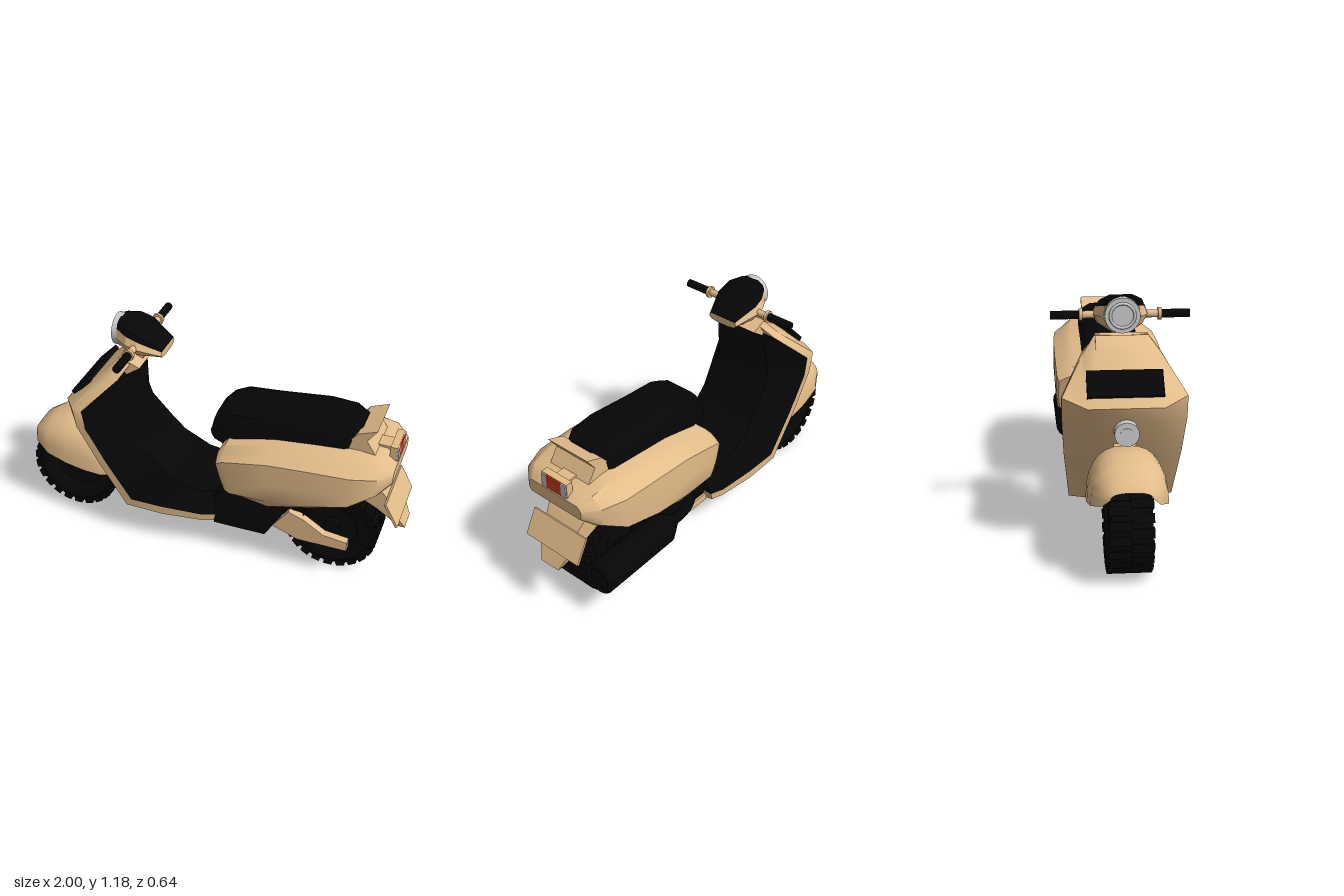
import * as THREE from 'three';
import { toCreasedNormals } from 'three/addons/utils/BufferGeometryUtils.js';

const mat = (color) => new THREE.MeshStandardMaterial({ color, side: THREE.DoubleSide });

export function createModel() {
  const root = new THREE.Group();
  const tan = mat(0xe3bc8a), black = mat(0x060606), grey = mat(0xbcbcbc), red = mat(0xd63c28);

  const add = (name, geo, material, pos = [0, 0, 0], rot = [0, 0, 0], parent = root) => {
    const mesh = new THREE.Mesh(geo, material);
    mesh.name = name;
    mesh.position.set(...pos);
    mesh.rotation.set(...rot);
    parent.add(mesh);
    return mesh;
  };

  // Skin through rings of [x, y, z]; closed rings get end caps
  const loft = (rings, crease = 0.6, closed = true) => {
    const pos = [], n = rings[0].length;
    const tri = (a, b, c) => pos.push(...a, ...b, ...c);
    for (let i = 0; i < rings.length - 1; i++) {
      for (let j = 0; j < (closed ? n : n - 1); j++) {
        const k = (j + 1) % n, A = rings[i], B = rings[i + 1];
        tri(A[j], B[j], B[k]);
        tri(A[j], B[k], A[k]);
      }
    }
    if (closed) {
      [rings[0], rings[rings.length - 1]].forEach((r, end) => {
        const c = [0, 1, 2].map((a) => r.reduce((s, p) => s + p[a], 0) / n);
        r.forEach((p, j) => (end ? tri(c, r[(j + 1) % n], p) : tri(c, p, r[(j + 1) % n])));
      });
    }
    // Turn the faces outward by the sign of the enclosed volume
    let volume = 0;
    const [a, b, c] = [0, 1, 2].map(() => new THREE.Vector3());
    for (let i = 0; i < pos.length; i += 9) {
      a.fromArray(pos, i); b.fromArray(pos, i + 3); c.fromArray(pos, i + 6);
      volume += a.dot(b.cross(c));
    }
    if (volume < 0) {
      for (let i = 0; i < pos.length; i += 9) {
        for (let q = 0; q < 3; q++) [pos[i + 3 + q], pos[i + 6 + q]] = [pos[i + 6 + q], pos[i + 3 + q]];
      }
    }
    const g = new THREE.BufferGeometry();
    g.setAttribute('position', new THREE.Float32BufferAttribute(pos, 3));
    return toCreasedNormals(g, crease);
  };
  // Mirror a half outline (z >= 0) into a full ring
  const sym = (half) => [...half, ...half.map(([x, y, z]) => [x, y, -z]).reverse()];
  // Side profile in x, y extruded between two z values
  const slab = (pts, z0, z1) => {
    const shape = new THREE.Shape(pts.map((p) => new THREE.Vector2(...p)));
    return new THREE.ExtrudeGeometry(shape, { depth: z1 - z0, bevelEnabled: false }).translate(0, 0, z0);
  };
  const cyl = (r0, r1, h, sides = 20) => new THREE.CylinderGeometry(r0, r1, h, sides);
  const alongX = [0, 0, -Math.PI / 2], alongZ = [Math.PI / 2, 0, 0];

  // Wheels with staggered tread blocks
  const wheel = (name, x) => {
    const g = new THREE.Group();
    g.name = name;
    g.position.set(x, 0.236, 0);
    root.add(g);
    const profile = [[0.13, -0.07], [0.17, -0.09], [0.215, -0.092], [0.228, -0.08], [0.23, 0],
      [0.228, 0.08], [0.215, 0.092], [0.17, 0.09], [0.13, 0.07], [0.13, -0.07]];
    add('tyre', new THREE.LatheGeometry(profile.map((p) => new THREE.Vector2(...p)), 40), black, [0, 0, 0], alongZ, g);
    add('rim', cyl(0.135, 0.135, 0.1, 24), black, [0, 0, 0], alongZ, g);
    add('hub', cyl(0.04, 0.04, 0.17, 16), black, [0, 0, 0], alongZ, g);
    for (let i = 0; i < 44; i++) {
      const t = (i / 44) * Math.PI * 2, side = i % 2 ? 1 : -1;
      add('treadBlock', new THREE.BoxGeometry(0.035, 0.042, 0.098), black,
        [Math.cos(t) * 0.2175, Math.sin(t) * 0.2175, side * 0.049], [0, 0, t], g);
    }
  };
  wheel('frontWheel', -0.765);
  wheel('rearWheel', 0.64);

  // Front fender: x, bottom, top, half width
  const fender = [[-0.98, 0.42, 0.45, 0.09], [-0.96, 0.385, 0.48, 0.125], [-0.88, 0.355, 0.53, 0.17],
    [-0.77, 0.325, 0.555, 0.18], [-0.67, 0.305, 0.55, 0.18], [-0.58, 0.29, 0.51, 0.17], [-0.49, 0.3, 0.4, 0.15]];
  add('frontFender', loft(fender.map(([x, yb, yt, w]) => Array.from({ length: 15 }, (_, i) => {
    const t = (i / 14) * Math.PI, c = Math.cos(t);
    return [x, yb + (yt - yb) * Math.sin(t) ** 0.8, w * Math.sign(c) * Math.abs(c) ** 0.8];
  })), 0.9, false), tan);
  add('fork', new THREE.BoxGeometry(0.06, 0.5, 0.1), tan, [-0.58, 0.58, 0], [0, 0, -0.45]);

  // Leg shield and floor: outer centre, outer corner, rim, inner centre
  const shield = [
    [[-0.46, 1.0, 0.12], [-0.43, 1.0, 0.12], [-0.4, 0.98, 0.12], [-0.42, 0.93, 0.11]],
    [[-0.52, 0.94, 0.12], [-0.49, 0.92, 0.18], [-0.44, 0.92, 0.18], [-0.42, 0.915, 0.13]],
    [[-0.73, 0.74, 0.17], [-0.65, 0.77, 0.28], [-0.6, 0.76, 0.28], [-0.43, 0.7, 0.16]],
    [[-0.69, 0.65, 0.15], [-0.63, 0.66, 0.28], [-0.585, 0.66, 0.28], [-0.41, 0.64, 0.16]],
    [[-0.57, 0.44, 0.12], [-0.53, 0.46, 0.27], [-0.49, 0.47, 0.27], [-0.31, 0.52, 0.17]],
    [[-0.41, 0.19, 0.12], [-0.4, 0.205, 0.245], [-0.37, 0.25, 0.25], [-0.24, 0.44, 0.18]],
    [[-0.2, 0.18, 0.12], [-0.2, 0.2, 0.245], [-0.2, 0.245, 0.245], [-0.1, 0.37, 0.18]],
    [[0, 0.18, 0.12], [0, 0.2, 0.22], [0, 0.24, 0.225], [0, 0.355, 0.18]],
    [[0.06, 0.18, 0.12], [0.06, 0.2, 0.2], [0.07, 0.24, 0.2], [0.07, 0.35, 0.14]],
  ];
  add('legShield', loft(shield.map((s) => sym(s.slice(0, 3))), 0.75), tan);
  add('innerPanel', loft(shield.slice(1).map((s) => sym(s.slice(2))), 0.9), black);
  add('shieldTop', slab([[-0.48, 0.98], [-0.43, 1.005], [-0.35, 0.97], [-0.42, 0.92]], -0.12, 0.12), tan);
  add('shieldGrille', new THREE.BoxGeometry(0.13, 0.025, 0.34), black, [-0.649, 0.827, 0], [0, 0, 0.8]);
  add('horn', cyl(0.055, 0.055, 0.11), grey, [-0.69, 0.625, 0], alongX);
  add('hornCentre', cyl(0.03, 0.03, 0.02), grey, [-0.738, 0.625, 0], alongX);
  add('steeringNeck', new THREE.BoxGeometry(0.06, 0.07, 0.08), tan, [-0.39, 1.0, 0], [0, 0, -0.3]);

  // Handlebar head: lower tan shell and black top
  const head = [[-0.48, 1.02, 1.09, 1.14, 1.178, 0.085], [-0.42, 1.01, 1.085, 1.125, 1.178, 0.12],
    [-0.36, 1.005, 1.075, 1.112, 1.145, 0.13], [-0.25, 1.02, 1.04, 1.057, 1.064, 0.085]];
  add('headShell', loft(head.map(([x, yb, ym, yh, , w]) =>
    sym([[x, yb, w * 0.4], [x, (yb + ym) / 2 - 0.005, w * 0.8], [x, ym, w], [x, yh, w * 0.88]])), 0.2), tan);
  add('instrumentCover', loft(head.map(([x, , , yh, yt, w]) =>
    sym([[x, yh, w * 0.89], [x, yh * 0.4 + yt * 0.6, w * 0.78], [x, yt, w * 0.42]])), 0.2), black);
  add('headlampRim', cyl(0.08, 0.08, 0.035, 24), grey, [-0.492, 1.1, 0], alongX);
  add('headlampRing', new THREE.TorusGeometry(0.055, 0.007, 8, 24), grey, [-0.51, 1.1, 0], [0, Math.PI / 2, 0]);
  for (const s of [1, -1]) {
    add('handlebar', cyl(0.018, 0.018, 0.12, 8), tan, [-0.375, 1.077, s * 0.14], alongZ);
    add('gripCollar', cyl(0.03, 0.03, 0.016, 8), tan, [-0.375, 1.077, s * 0.18], alongZ);
    add('grip', cyl(0.02, 0.02, 0.13, 12), black, [-0.375, 1.077, s * 0.253], alongZ);
  }

  // Rear body: x, bottom y, bottom half, low side y, half width, high side y, top y, top half, slant, wheel well depth
  const body = [[0.09, 0.43, 0.2, 0.47, 0.272, 0.62, 0.65, 0.21, 0.3, 0], [0.13, 0.41, 0.21, 0.465, 0.282, 0.645, 0.69, 0.2, 0.22, 0],
    [0.35, 0.4, 0.23, 0.47, 0.286, 0.69, 0.745, 0.19, 0, 0.04], [0.55, 0.45, 0.23, 0.495, 0.286, 0.705, 0.765, 0.19, 0, 0.07],
    [0.75, 0.52, 0.22, 0.545, 0.278, 0.71, 0.77, 0.19, 0, 0.05], [0.87, 0.59, 0.19, 0.615, 0.235, 0.705, 0.757, 0.18, 0, 0],
    [0.93, 0.645, 0.15, 0.66, 0.165, 0.695, 0.715, 0.14, 0, 0]];
  add('rearBody', loft(body.map(([x, yb, hb, yl, w, yh, yt, ht, k, well]) => sym([
    [yb + well, hb * 0.55], [yb, hb], [yl, w * 0.98], [yl * 0.55 + yh * 0.45, w], [yh, w * 0.99],
    [yh * 0.4 + yt * 0.6, w * 0.45 + ht * 0.55], [yt, ht],
  ].map(([y, z]) => [x + k * (0.64 - y), y, z]))), 0.6), tan);

  // Seat: x, bottom, top, half width
  const seat = [[0.01, 0.66, 0.72, 0.1], [0.03, 0.645, 0.775, 0.115], [0.08, 0.635, 0.83, 0.13], [0.14, 0.64, 0.854, 0.15],
    [0.3, 0.7, 0.867, 0.15], [0.55, 0.74, 0.895, 0.15], [0.68, 0.75, 0.893, 0.14], [0.75, 0.76, 0.872, 0.1]];
  add('seat', loft(seat.map(([x, yb, yt, w]) =>
    sym([[x, yb, w * 0.93], [x, (yb + yt) / 2, w], [x, yt - 0.03, w * 0.88], [x, yt, w * 0.55]])), 0.7), black);
  add('tailGrab', slab([[0.62, 0.75], [0.7, 0.81], [0.74, 0.86], [0.83, 0.895], [0.785, 0.83], [0.83, 0.76]], -0.12, 0.12), tan);

  // Tail lamp
  add('tailLampStalk', new THREE.BoxGeometry(0.1, 0.05, 0.08), tan, [0.86, 0.745, 0]);
  add('tailLampHousing', new THREE.BoxGeometry(0.035, 0.076, 0.156), tan, [0.905, 0.757, 0]);
  add('tailLamp', new THREE.BoxGeometry(0.012, 0.07, 0.09), red, [0.923, 0.757, 0]);
  for (const s of [1, -1]) add('turnSignal', new THREE.BoxGeometry(0.012, 0.07, 0.03), grey, [0.923, 0.757, s * 0.06]);

  // Rear mudguard and plate
  const guard = [[0.75, 0.51, 0.84, 0.6, 0.12], [0.86, 0.435, 0.9, 0.515, 0.1], [0.92, 0.385, 0.955, 0.405, 0.09], [0.965, 0.32, 0.998, 0.32, 0.055]];
  add('rearMudguard', loft(guard.map(([x0, y0, x1, y1, w]) => sym([[x0, y0, w], [x1, y1, w]])), 0.2), tan);
  add('plate', new THREE.BoxGeometry(0.012, 0.135, 0.33), tan, [0.94, 0.46, 0], [0, 0, 0.5]);

  // Engine, belly plate, drive case and cooling ribs
  add('engineCover', slab([[0.06, 0.185], [0.33, 0.185], [0.43, 0.36], [0.4, 0.45], [0.16, 0.46], [0.06, 0.35]], -0.15, 0.195), black);
  add('bellyPlate', new THREE.BoxGeometry(0.27, 0.04, 0.28), tan, [0.195, 0.2, -0.02]);
  add('driveCase', slab([[0.37, 0.26], [0.45, 0.37], [0.53, 0.34], [0.63, 0.275], [0.75, 0.26], [0.75, 0.21], [0.5, 0.21]], 0.16, 0.2), tan);
  for (let i = 0; i < 6; i++) add('coolingRib', new THREE.BoxGeometry(0.14, 0.025, 0.06), black, [0.45, 0.25 + i * 0.042, 0.14]);
  add('engineCore', new THREE.BoxGeometry(0.1, 0.22, 0.2), black, [0.43, 0.35, 0.03]);
  add('swingArm', new THREE.BoxGeometry(0.4, 0.06, 0.04), black, [0.48, 0.25, -0.12]);

  // Exhaust
  add('muffler', cyl(0.082, 0.078, 0.44, 20), black, [0.66, 0.272, -0.2], alongX);
  add('mufflerCap', new THREE.TorusGeometry(0.068, 0.015, 8, 20), black, [0.876, 0.272, -0.2], [0, Math.PI / 2, 0]);
  add('mufflerCone', cyl(0.078, 0.03, 0.08, 20), black, [0.4, 0.272, -0.2], alongX);
  const pipe = new THREE.CatmullRomCurve3([[0.4, 0.272, -0.2], [0.3, 0.27, -0.2], [0.2, 0.27, -0.17], [0.14, 0.27, -0.1]]
    .map((p) => new THREE.Vector3(...p)));
  add('exhaustPipe', new THREE.TubeGeometry(pipe, 16, 0.025, 10), black);

  return root;
}
